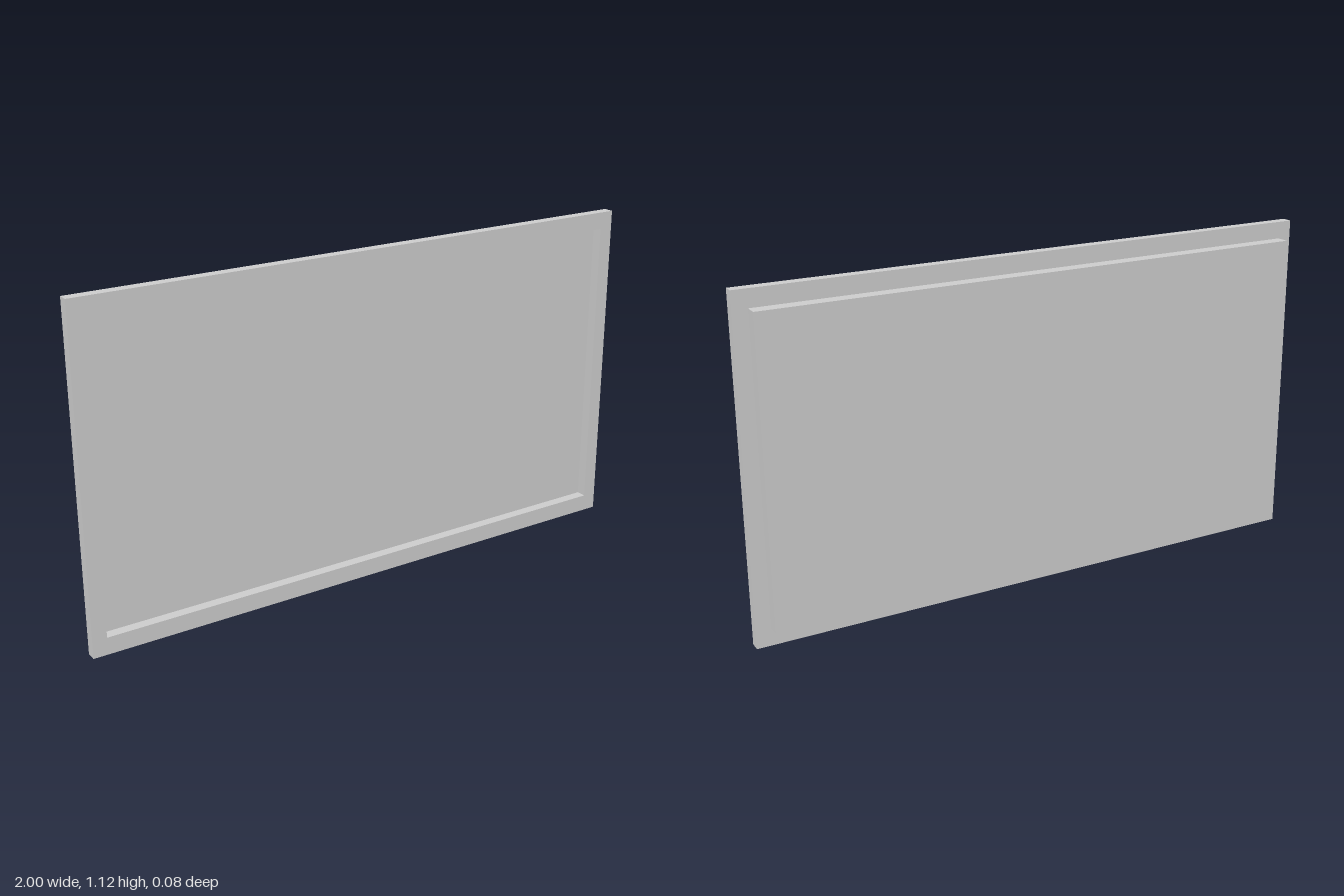
import * as THREE from 'three';

const W = 2, H = 1.124;                 // outer frame size
const MX = 0.048, MY = 0.058;           // border widths
const FRONT = 0.04, STEP = 0.005, BACK = -0.04;

export function createModel() {
  const group = new THREE.Group();
  const material = new THREE.MeshStandardMaterial({ color: 0xcccccc });
  const pw = W - 2 * MX, ph = H - 2 * MY;

  const rectangle = (Type, w, h) => new Type([
    new THREE.Vector2(-w / 2, -h / 2), new THREE.Vector2(w / 2, -h / 2),
    new THREE.Vector2(w / 2, h / 2), new THREE.Vector2(-w / 2, h / 2),
  ]);

  // Front border with a rectangular opening
  const border = rectangle(THREE.Shape, W, H);
  border.holes.push(rectangle(THREE.Path, pw, ph));
  const frame = new THREE.Mesh(
    new THREE.ExtrudeGeometry(border, { depth: FRONT - STEP, bevelEnabled: false }), material);
  frame.name = 'frame';
  frame.position.set(0, H / 2, STEP);
  group.add(frame);

  // Panel set behind the border, its face forming the floor of the recess
  const panel = new THREE.Mesh(new THREE.BoxGeometry(pw, ph, STEP - BACK), material);
  panel.name = 'backPanel';
  panel.position.set(0, H / 2, (STEP + BACK) / 2);
  group.add(panel);

  return group;
}
